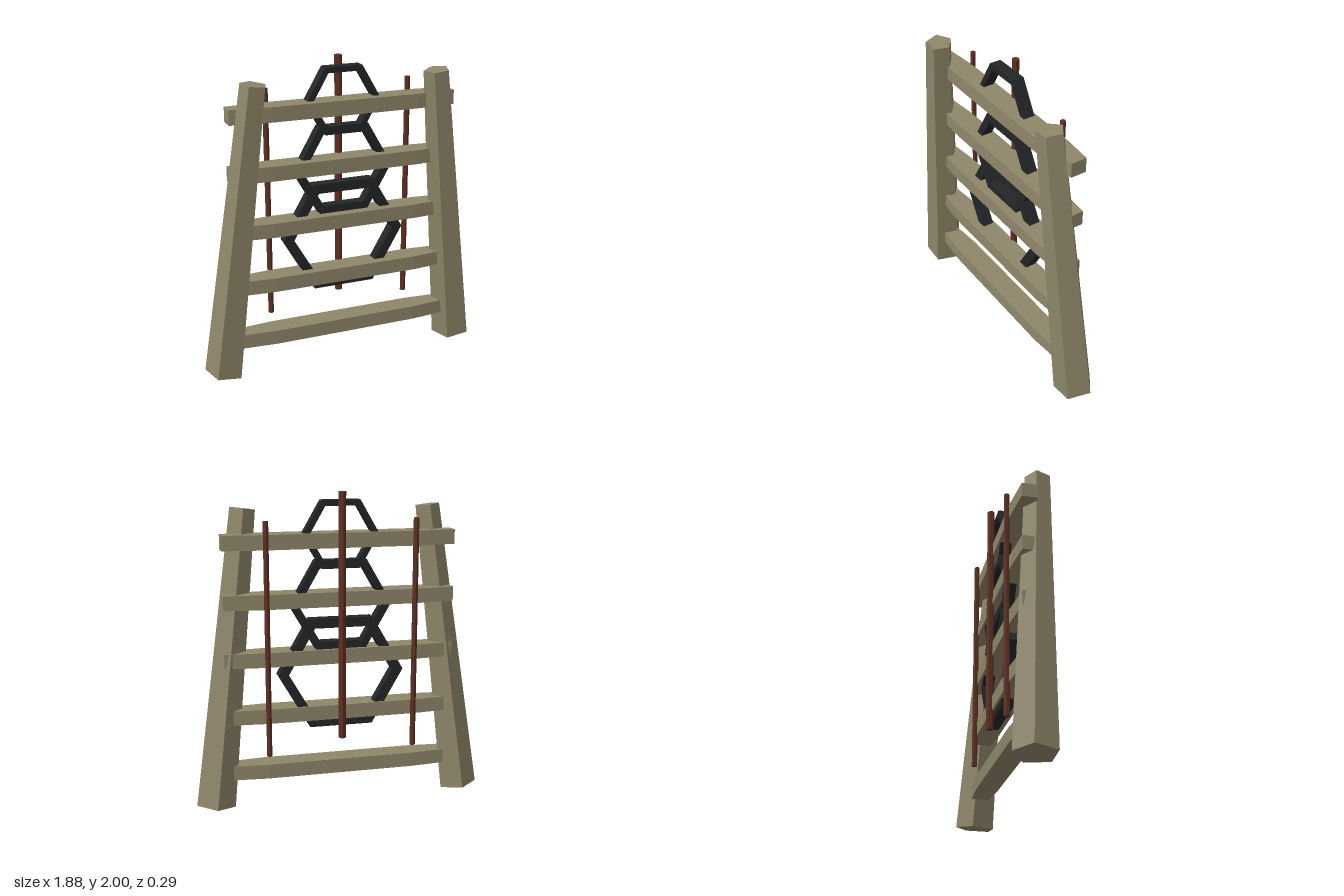
import * as THREE from 'three';

export function createModel() {
  const model = new THREE.Group();
  model.name = 'ladderRack';
  const mat = (name, color) => {
    const m = new THREE.MeshStandardMaterial({ color, flatShading: true });
    m.name = name;
    return m;
  };
  const wood = mat('weatheredWood', 0x8f866a);
  const iron = mat('darkIron', 0x232527);
  const rust = mat('redBrownRod', 0x602f21);

  const add = (name, geometry, material, x = 0, y = 0, z = 0) => {
    const mesh = new THREE.Mesh(geometry, material);
    mesh.name = name;
    mesh.position.set(x, y, z);
    model.add(mesh);
    return mesh;
  };

  // Tapered five-sided posts leaning inward and forward
  const up = new THREE.Vector3(0, 1, 0);
  for (const side of [-1, 1]) {
    const foot = new THREE.Vector3(side * 0.817, 0.017, -0.022);
    const head = new THREE.Vector3(side * 0.592, 1.895, 0.073);
    const axis = head.clone().sub(foot);
    const geo = new THREE.CylinderGeometry(0.083, 0.13, axis.length(), 5);
    geo.rotateY(Math.PI);
    const post = add(side > 0 ? 'leftPost' : 'rightPost', geo, wood);
    post.position.copy(foot).add(head).multiplyScalar(0.5);
    post.quaternion.setFromUnitVectors(up, axis.normalize());
  }

  // Rungs: beams whose depth narrows toward both ends
  const plan = [[-0.74, -0.05], [-0.48, -0.072], [0.48, -0.072], [0.74, -0.05],
    [0.74, 0.05], [0.48, 0.072], [-0.48, 0.072], [-0.74, 0.05]];
  const rungGeo = new THREE.ExtrudeGeometry(
    new THREE.Shape(plan.map(([x, z]) => new THREE.Vector2(x, z))),
    { depth: 0.093, bevelEnabled: false });
  rungGeo.translate(0, 0, -0.0465).rotateX(-Math.PI / 2);
  [0.233, 0.6, 0.967, 1.333, 1.7].forEach((y, i) =>
    add('rung' + (i + 1), rungGeo, wood, 0, y, -0.016));

  // Hexagonal rings, growing larger toward the bottom
  const hexagon = (r) => Array.from({ length: 6 }, (_, i) =>
    new THREE.Vector2(r * Math.cos(i * Math.PI / 3), r * Math.sin(i * Math.PI / 3)));
  [[0.243, 1.735], [0.325, 1.297], [0.407, 0.858]].forEach(([r, y], i) => {
    const shape = new THREE.Shape(hexagon(r));
    shape.holes.push(new THREE.Path(hexagon(r * 0.83).reverse()));
    const geo = new THREE.ExtrudeGeometry(shape, { depth: 0.073, bevelEnabled: false });
    add('hexRing' + (i + 1), geo, iron, 0, y, -0.073);
  });

  // Upright rods behind the rungs
  const rod = (name, x, r, bottom, top) => add(name,
    new THREE.CylinderGeometry(r, r, top - bottom, 6), rust, x, (top + bottom) / 2, -0.099);
  rod('centreRod', 0, 0.024, 0.43, 2);
  rod('leftRod', 0.474, 0.018, 0.343, 1.83);
  rod('rightRod', -0.474, 0.018, 0.343, 1.83);

  return model;
}
